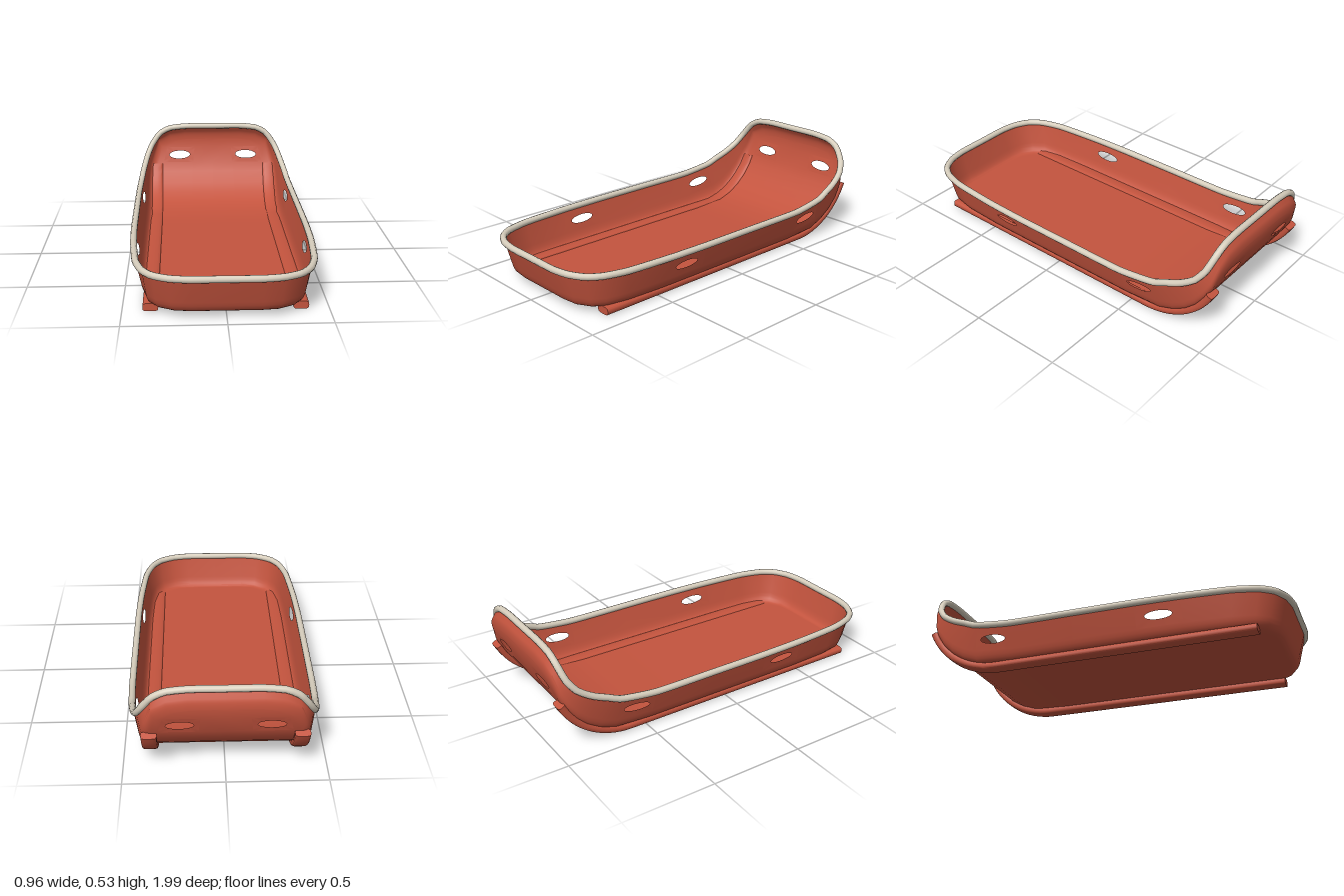
import * as THREE from 'three';
import { toCreasedNormals } from 'three/addons/utils/BufferGeometryUtils.js';

const BASE_Y = 0.03, BEND_Z = -0.585, RADIUS = 0.41;

// Point on the sled bed: straight along z, then curling upward; h is height off the bed.
function bed(x, s, h = 0) {
  if (s >= BEND_Z) return new THREE.Vector3(x, BASE_Y + h, s);
  const a = (BEND_Z - s) / RADIUS, r = RADIUS - h;
  return new THREE.Vector3(x, BASE_Y + RADIUS - r * Math.cos(a), BEND_Z - r * Math.sin(a));
}

// Stations from front to back: floor half width, floor distance, rim x, y, z.
const STATIONS = [
  [0, 0.9, 0, 0.218, 0.98],
  [0.16, 0.9, 0.17, 0.218, 0.98],
  [0.24, 0.89, 0.27, 0.218, 0.963],
  [0.31, 0.85, 0.35, 0.218, 0.92],
  [0.35, 0.79, 0.4, 0.218, 0.85],
  [0.37, 0.68, 0.435, 0.218, 0.72],
  [0.38, 0.46, 0.455, 0.218, 0.46],
  [0.38, 0.22, 0.462, 0.218, 0.22],
  [0.38, -0.12, 0.463, 0.218, -0.12],
  [0.38, -0.47, 0.463, 0.218, -0.47],
  [0.38, -0.67, 0.455, 0.24, -0.67],
  [0.38, -0.76, 0.448, 0.267, -0.74],
  [0.38, -0.84, 0.441, 0.289, -0.8],
  [0.378, -0.92, 0.432, 0.314, -0.85],
  [0.37, -1.0, 0.42, 0.347, -0.897],
  [0.355, -1.06, 0.395, 0.4, -0.935],
  [0.33, -1.16, 0.345, 0.47, -0.955],
  [0.26, -1.2, 0.28, 0.505, -0.959],
  [0.17, -1.212, 0.17, 0.517, -0.959],
  [0, -1.212, 0, 0.517, -0.959],
];

// One side's wall from rim to floor edge, with a rounded lower corner.
function wall([fx, fs, rx, ry, rz], side) {
  const rim = new THREE.Vector3(side * rx, ry, rz);
  const corner = bed(side * fx * 1.07, fs * 1.03);
  const foot = bed(side * fx, fs);
  const low = rim.clone().lerp(corner, 0.7);
  const curve = new THREE.QuadraticBezierCurve3(low, corner, foot);
  return [rim, rim.clone().lerp(corner, 0.1), ...curve.getPoints(5)];
}

function crossSection(st) {
  const floor = [-0.9, -0.36, 0, 0.36, 0.9].map(f => bed(f * st[0], st[1]));
  return [...wall(st, -1), ...floor, ...wall(st, 1).reverse()];
}

// Skins rows of points; cells listed in holes become a panel with an oval opening.
function skin(rows, holes = [], crease = 0.7) {
  const pos = [];
  const e1 = new THREE.Vector3(), e2 = new THREE.Vector3();
  const tri = (a, b, c) => {
    e1.subVectors(b, a).cross(e2.subVectors(c, a));
    if (e1.length() > 1e-9) for (const p of [a, b, c]) pos.push(p.x, p.y, p.z);
  };
  const quad = (a, b, c, d) => { tri(a, b, c); tri(a, c, d); };
  for (let i = 0; i < rows.length - 1; i++) {
    for (let j = 0; j < rows[i].length - 1; j++) {
      const a = rows[i][j], b = rows[i + 1][j], c = rows[i + 1][j + 1], d = rows[i][j + 1];
      const hole = holes.find(h => h.row === i && h.col === j);
      if (!hole) { quad(a, b, c, d); continue; }
      const at = (u, v) => a.clone().lerp(b, (u + 1) / 2).lerp(d.clone().lerp(c, (u + 1) / 2), (v + 1) / 2);
      const N = 32;
      const ring = k => {
        const t = k / N * Math.PI * 2, x = Math.cos(t), y = Math.sin(t);
        const m = Math.max(Math.abs(x), Math.abs(y));
        return [at(x / m, y / m), at(x * hole.ru, y * hole.rv)];
      };
      for (let k = 0; k < N; k++) {
        const [o0, i0] = ring(k), [o1, i1] = ring(k + 1);
        quad(o0, o1, i1, i0);
      }
    }
  }
  const geo = new THREE.BufferGeometry();
  geo.setAttribute('position', new THREE.Float32BufferAttribute(pos, 3));
  return toCreasedNormals(geo, crease);
}

// Rounded strip following the underside of the bed.
function runnerGeometry(x) {
  const ring = s => Array.from({ length: 17 }, (_, k) => {
    const t = -k / 16 * Math.PI * 2, c = Math.cos(t), n = Math.sin(t);
    const round = v => Math.sign(v) * Math.pow(Math.abs(v), 0.5);
    return bed(x + 0.038 * round(c), s, -0.01 + 0.02 * round(n));
  });
  const start = 0.83, end = -1.05, stops = [start];
  for (let k = 0; k <= 16; k++) stops.push(BEND_Z + (end - BEND_Z) * k / 16);
  const cap = s => Array(17).fill(bed(x, s, -0.01));
  return skin([cap(start), ...stops.map(ring), cap(end)]);
}

export function createModel() {
  const red = new THREE.MeshStandardMaterial({ color: 0xc4543e, side: THREE.DoubleSide });
  red.name = 'brick red';
  const cream = new THREE.MeshStandardMaterial({ color: 0xd8cfbe });
  cream.name = 'cream';

  const group = new THREE.Group();
  group.name = 'sled';
  const add = (name, geometry, material) => {
    const mesh = new THREE.Mesh(geometry, material);
    mesh.name = name;
    group.add(mesh);
  };

  // Tray with two hand holes per side and two in the curled end
  const rows = STATIONS.map(crossSection);
  const last = rows[0].length - 1;
  const holes = [];
  for (const row of [6, 9]) {
    for (const col of [1, last - 2]) holes.push({ row, col, ru: row === 6 ? 0.6 : 0.72, rv: 0.38 });
  }
  for (const col of [8, 11]) holes.push({ row: 15, col, ru: 0.52, rv: 0.72 });
  for (const h of holes.slice(4)) h.col = h.col === 8 ? 8 : last - 9;
  add('tray', skin(rows, holes), red);

  // Padded rim
  const side = STATIONS.map(s => new THREE.Vector3(s[2], s[3], s[4]));
  const other = side.slice(1, -1).reverse().map(p => new THREE.Vector3(-p.x, p.y, p.z));
  const rimPath = new THREE.CatmullRomCurve3([...side, ...other], true, 'catmullrom', 0.3);
  add('rim', new THREE.TubeGeometry(rimPath, 160, 0.0175, 10, true), cream);

  // Runners
  add('leftRunner', runnerGeometry(0.363), red);
  add('rightRunner', runnerGeometry(-0.363), red);
  return group;
}
